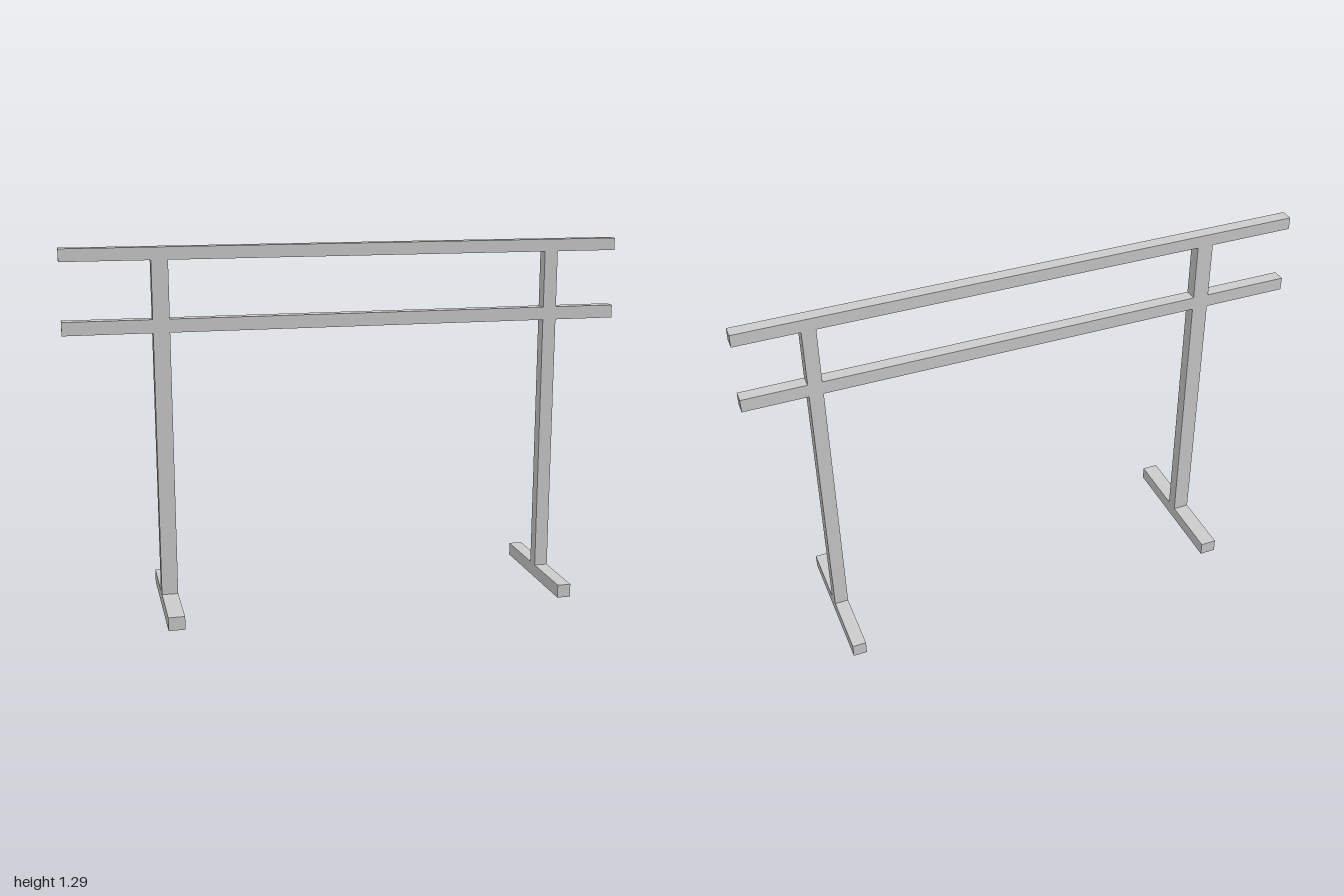
import * as THREE from 'three';

const material = new THREE.MeshStandardMaterial({ color: 0xcccccc, flatShading: true });

// Box given by its extents along each axis
function beam(name, [x0, x1], [y0, y1], [z0, z1]) {
  const mesh = new THREE.Mesh(new THREE.BoxGeometry(x1 - x0, y1 - y0, z1 - z0), material);
  mesh.position.set((x0 + x1) / 2, (y0 + y1) / 2, (z0 + z1) / 2);
  mesh.name = name;
  return mesh;
}

export function createModel() {
  const model = new THREE.Group();
  model.name = 'railStand';

  const depth = [-0.023, 0.023];
  const footTop = 0.048;
  const lowerRail = [0.996, 1.043];
  const upperRail = [1.246, 1.29];

  // Two full-length horizontal rails
  model.add(beam('lowerRail', [-1, 1], lowerRail, depth));
  model.add(beam('upperRail', [-1, 1], upperRail, depth));

  // Supports: foot and post, with the post split flush around the lower rail
  const supports = { right: [-0.693, -0.635], left: [0.729, 0.778] };
  for (const [side, width] of Object.entries(supports)) {
    const support = new THREE.Group();
    support.name = side + 'Support';
    support.add(
      beam(side + 'Foot', width, [0, footTop], [-0.255, 0.255]),
      beam(side + 'LowerPost', width, [footTop, lowerRail[0]], depth),
      beam(side + 'UpperPost', width, [lowerRail[1], upperRail[0]], depth)
    );
    model.add(support);
  }
  return model;
}
